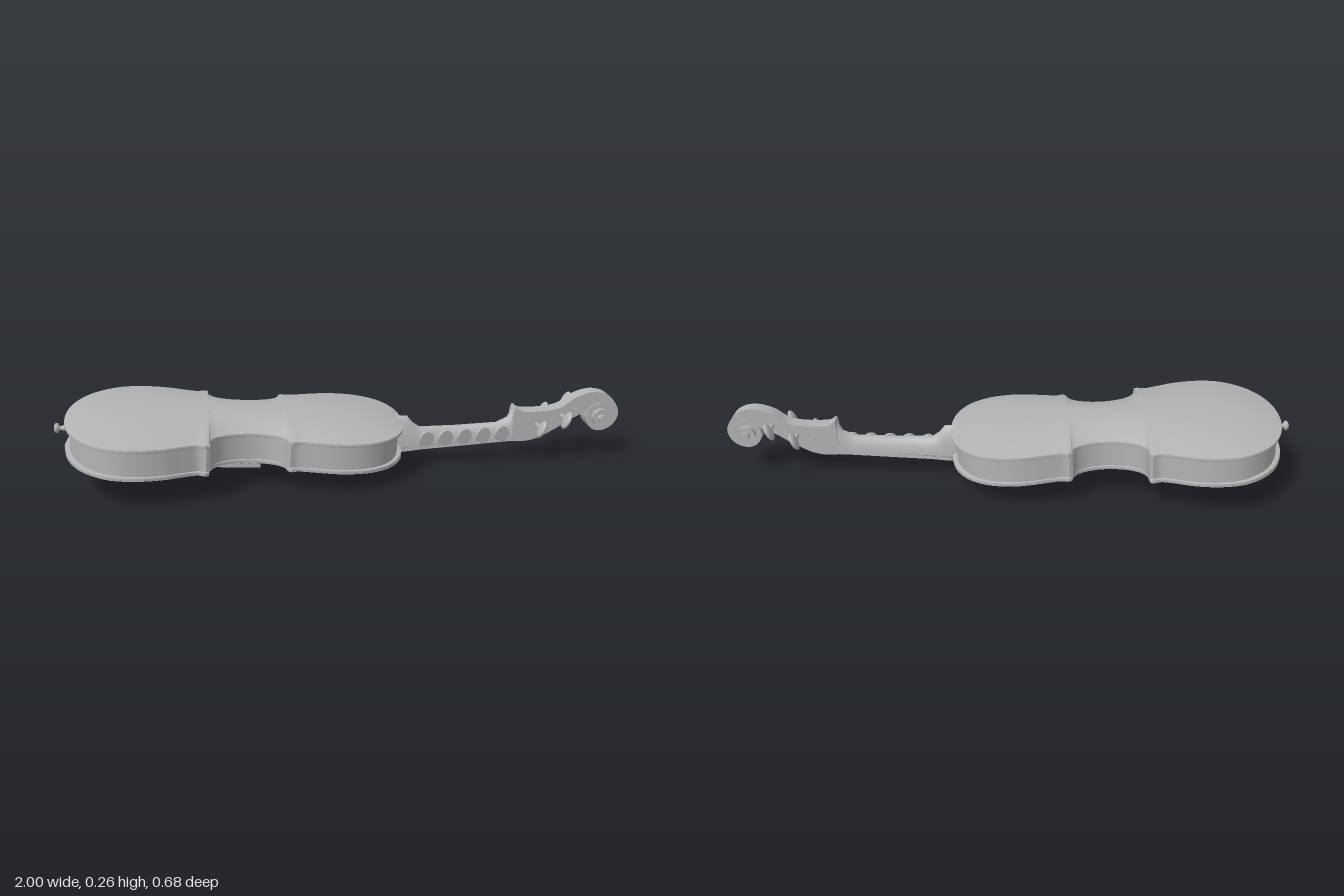
import * as THREE from 'three';
import { toCreasedNormals } from 'three/addons/utils/BufferGeometryUtils.js';

const grey = new THREE.MeshStandardMaterial({ color: 0xb3b3b3, side: THREE.DoubleSide });
grey.name = 'plain grey';

function add(parent, name, geometry, x = 0, y = 0, z = 0) {
  const mesh = new THREE.Mesh(geometry, grey);
  mesh.name = name;
  mesh.position.set(x, y, z);
  parent.add(mesh);
  return mesh;
}

// Half outline of the body as [along, half width]: lower bout, waist, upper bout
const bouts = [
  [[-0.96, 0], [-0.954, 0.08], [-0.93, 0.17], [-0.88, 0.258], [-0.8, 0.321], [-0.72, 0.337],
    [-0.63, 0.325], [-0.56, 0.298], [-0.515, 0.284], [-0.49, 0.293]],
  [[-0.478, 0.287], [-0.476, 0.25], [-0.452, 0.21], [-0.4, 0.182], [-0.325, 0.173],
    [-0.265, 0.188], [-0.23, 0.215], [-0.218, 0.25]],
  [[-0.206, 0.256], [-0.185, 0.25], [-0.14, 0.257], [-0.08, 0.27], [-0.02, 0.275], [0.06, 0.26],
    [0.13, 0.215], [0.175, 0.145], [0.195, 0.07], [0.2, 0]],
];
const outline = bouts.flatMap((b) =>
  new THREE.CatmullRomCurve3(b.map(([u, w]) => new THREE.Vector3(u, w, 0))).getPoints(26));

// Arched height of a plate above its edge
function archHeight(u, t) {
  return 0.04 * Math.max(0, 1 - ((u + 0.38) / 0.58) ** 4) * (1 - t * t);
}

function archGeometry() {
  const pos = [], index = [], n = 20;
  outline.forEach((p, i) => {
    for (let j = 0; j <= n; j++) {
      const t = (2 * j) / n - 1;
      pos.push(p.x, archHeight(p.x, t), p.y * t);
      if (i && j) {
        const d = i * (n + 1) + j, c = d - 1, b = d - n - 1, a = b - 1;
        index.push(a, b, c, b, d, c);
      }
    }
  });
  const g = new THREE.BufferGeometry();
  g.setAttribute('position', new THREE.Float32BufferAttribute(pos, 3));
  g.setIndex(index);
  g.computeVertexNormals();
  return g;
}

// Slab in the outline of the body, lying flat and centred on its thickness
function slab(scale, depth, bevel) {
  const half = outline.map((p) => new THREE.Vector2((p.x + 0.38) * scale - 0.38, p.y * scale));
  const mirror = half.slice(1, -1).reverse().map((p) => new THREE.Vector2(p.x, -p.y));
  const g = new THREE.ExtrudeGeometry(new THREE.Shape([...half, ...mirror]), {
    depth, bevelEnabled: bevel > 0, bevelSize: bevel, bevelThickness: bevel,
    bevelOffset: -bevel, bevelSegments: 2,
  });
  g.translate(0, 0, -depth / 2).rotateX(-Math.PI / 2);
  return toCreasedNormals(g, 0.6);
}

// Loft of D-shaped sections given as [x, flat y, round y, half width]
function loftD(stations, n = 14) {
  const pos = [], index = [], m = n + 1;
  stations.forEach(([x, flat, round, hw], i) => {
    for (let j = 0; j < m; j++) {
      const a = (Math.PI * j) / n;
      pos.push(x, flat + (round - flat) * Math.sin(a), hw * Math.cos(a));
      if (i) {
        const k = (j + 1) % m, p = (i - 1) * m, q = i * m;
        index.push(p + j, q + j, p + k, q + j, q + k, p + k);
      }
    }
  });
  const last = (stations.length - 1) * m;
  for (let j = 1; j < n; j++) index.push(0, j, j + 1, last, last + j + 1, last + j);
  const g = new THREE.BufferGeometry();
  g.setAttribute('position', new THREE.Float32BufferAttribute(pos, 3));
  g.setIndex(index);
  return toCreasedNormals(g, 0.7);
}

function buildBody() {
  const body = new THREE.Group();
  body.name = 'body';
  body.position.y = 0.131;
  body.rotation.z = -0.05;
  add(body, 'ribs', slab(0.972, 0.09, 0));
  for (const [name, s] of [['back', 1], ['belly', -1]]) {
    add(body, name + 'Edge', slab(1, 0.005, 0.004), 0, s * 0.0465, 0);
    add(body, name + 'Arch', archGeometry(), 0, s * 0.0525, 0).rotation.x = s > 0 ? 0 : Math.PI;
  }
  // Curled sound holes on the belly
  for (const s of [1, -1]) {
    const place = (u, w) => {
      const edge = outline.reduce((a, b) => (Math.abs(b.x - u) < Math.abs(a.x - u) ? b : a));
      return new THREE.Vector3(u, -0.0525 - archHeight(u, w / edge.y), s * w);
    };
    const path = [[-0.545, 0.165], [-0.57, 0.145], [-0.55, 0.125], [-0.49, 0.13], [-0.43, 0.115],
      [-0.37, 0.09], [-0.34, 0.075], [-0.325, 0.09], [-0.345, 0.1]].map(([u, w]) => place(u, w));
    add(body, 'soundHole', new THREE.TubeGeometry(new THREE.CatmullRomCurve3(path), 40, 0.004, 6));
    for (const p of [path[0], path[8]])
      add(body, 'soundHoleEye', new THREE.CylinderGeometry(0.011, 0.011, 0.006, 16), p.x, p.y, p.z);
  }
  // Tail button
  const knob = [[0, 0], [0.01, 0], [0.01, 0.014], [0.006, 0.02], [0.009, 0.026], [0.017, 0.03],
    [0.017, 0.038], [0.01, 0.043], [0, 0.043]].map(([r, h]) => new THREE.Vector2(r, h));
  add(body, 'tailButton', new THREE.LatheGeometry(knob, 20), -0.955, 0.005, 0).rotation.z = Math.PI / 2;
  return body;
}

function buildFittings(root) {
  add(root, 'tailpiece', loftD([[-0.965, 0.128, 0.114, 0.02], [-0.8, 0.099, 0.082, 0.028],
    [-0.64, 0.07, 0.052, 0.044], [-0.61, 0.065, 0.052, 0.036]]));
  add(root, 'fingerboard', loftD([[-0.21, 0.055, 0.034, 0.044], [0.66, 0.094, 0.074, 0.026]]));
  // Curved bridge
  const arch = new THREE.Shape();
  arch.moveTo(-0.03, 0.065);
  arch.absarc(0, 0.03, 0.03, Math.PI, 2 * Math.PI, false);
  arch.lineTo(0.03, 0.065);
  arch.lineTo(0.019, 0.065);
  arch.absarc(0, 0.034, 0.019, 0, Math.PI, true);
  arch.lineTo(-0.019, 0.065);
  const bridge = new THREE.ExtrudeGeometry(arch, { depth: 0.01, bevelEnabled: false, curveSegments: 16 });
  add(root, 'bridge', bridge.rotateY(Math.PI / 2), -0.488, 0, 0);
  // Ridged bar between bridge and fingerboard
  const bar = new THREE.Group();
  bar.name = 'ridgedBar';
  bar.position.set(-0.385, 0.04, 0.004);
  bar.rotation.z = -0.06;
  add(bar, 'barPlate', new THREE.BoxGeometry(0.17, 0.024, 0.056));
  for (let i = 0; i < 4; i++)
    add(bar, 'barRidge', new THREE.BoxGeometry(0.17, 0.006, 0.007), 0, -0.014, -0.021 + i * 0.014);
  root.add(bar);
}

function buildNeck(root) {
  add(root, 'neck', loftD([[0.185, 0.055, 0.183, 0.034], [0.225, 0.058, 0.18, 0.035],
    [0.245, 0.06, 0.155, 0.035], [0.27, 0.062, 0.137, 0.034], [0.4, 0.068, 0.137, 0.032],
    [0.55, 0.075, 0.142, 0.029], [0.59, 0.077, 0.16, 0.029], [0.612, 0.078, 0.2, 0.031],
    [0.635, 0.08, 0.192, 0.031]]));
  // Discs along one side of the neck
  for (let i = 0; i < 5; i++) {
    const disc = new THREE.CylinderGeometry(0.028, 0.028, 0.012, 24).rotateX(Math.PI / 2);
    add(root, 'neckDisc', disc, 0.29 + i * 0.069, 0.1 + i * 0.002, 0.034 - i * 0.001).rotation.y = 0.3;
  }
  // Pegbox sweeping up into the scroll, tapering in width
  const line = (pts) => new THREE.SplineCurve(pts.map((p) => new THREE.Vector2(...p))).getPoints(50);
  const profile = [
    ...line([[0.605, 0.15], [0.613, 0.2], [0.64, 0.188], [0.71, 0.186], [0.78, 0.197], [0.835, 0.233],
      [0.9, 0.25], [0.96, 0.233], [0.998, 0.175], [0.982, 0.125], [0.935, 0.103], [0.895, 0.118],
      [0.882, 0.155], [0.888, 0.178]]),
    ...line([[0.875, 0.177], [0.82, 0.152], [0.785, 0.13], [0.71, 0.09], [0.66, 0.077], [0.605, 0.077]]),
  ];
  const box = new THREE.ExtrudeGeometry(new THREE.Shape(profile), { depth: 1, bevelEnabled: false });
  const p = box.attributes.position;
  for (let i = 0; i < p.count; i++)
    p.setZ(i, (p.getZ(i) - 0.5) * (0.062 - (p.getX(i) - 0.6) * 0.03));
  add(root, 'pegboxAndScroll', toCreasedNormals(box, 0.6));
  // Stepped scroll eyes
  for (const [r, width] of [[0.052, 0.062], [0.032, 0.095], [0.014, 0.13]])
    add(root, 'scrollEye', new THREE.CylinderGeometry(r, r, width, 28).rotateX(Math.PI / 2), 0.928, 0.157, 0);
  // Tuning pegs, two on each side
  for (const [x, y, s] of [[0.695, 0.137, 1], [0.785, 0.167, 1], [0.75, 0.152, -1], [0.835, 0.188, -1]]) {
    const peg = new THREE.Group();
    peg.name = 'tuningPeg';
    peg.position.set(x, y, 0);
    add(peg, 'pegShaft', new THREE.CylinderGeometry(0.009, 0.006, 0.1, 12).rotateX(s * Math.PI / 2), 0, 0, s * 0.015);
    const head = add(peg, 'pegHead', new THREE.SphereGeometry(1, 20, 12), 0, 0, s * 0.083);
    head.scale.set(0.011, 0.033, 0.026);
    head.rotation.z = -0.45;
    root.add(peg);
  }
}

export function createModel() {
  const model = new THREE.Group();
  model.name = 'violin';
  // The instrument lies face down, slightly turned and rolled
  const root = new THREE.Group();
  root.name = 'instrument';
  root.position.z = 0.02;
  root.rotation.set(0.025, -0.037, 0);
  root.add(buildBody());
  buildFittings(root);
  buildNeck(root);
  model.add(root);
  return model;
}
